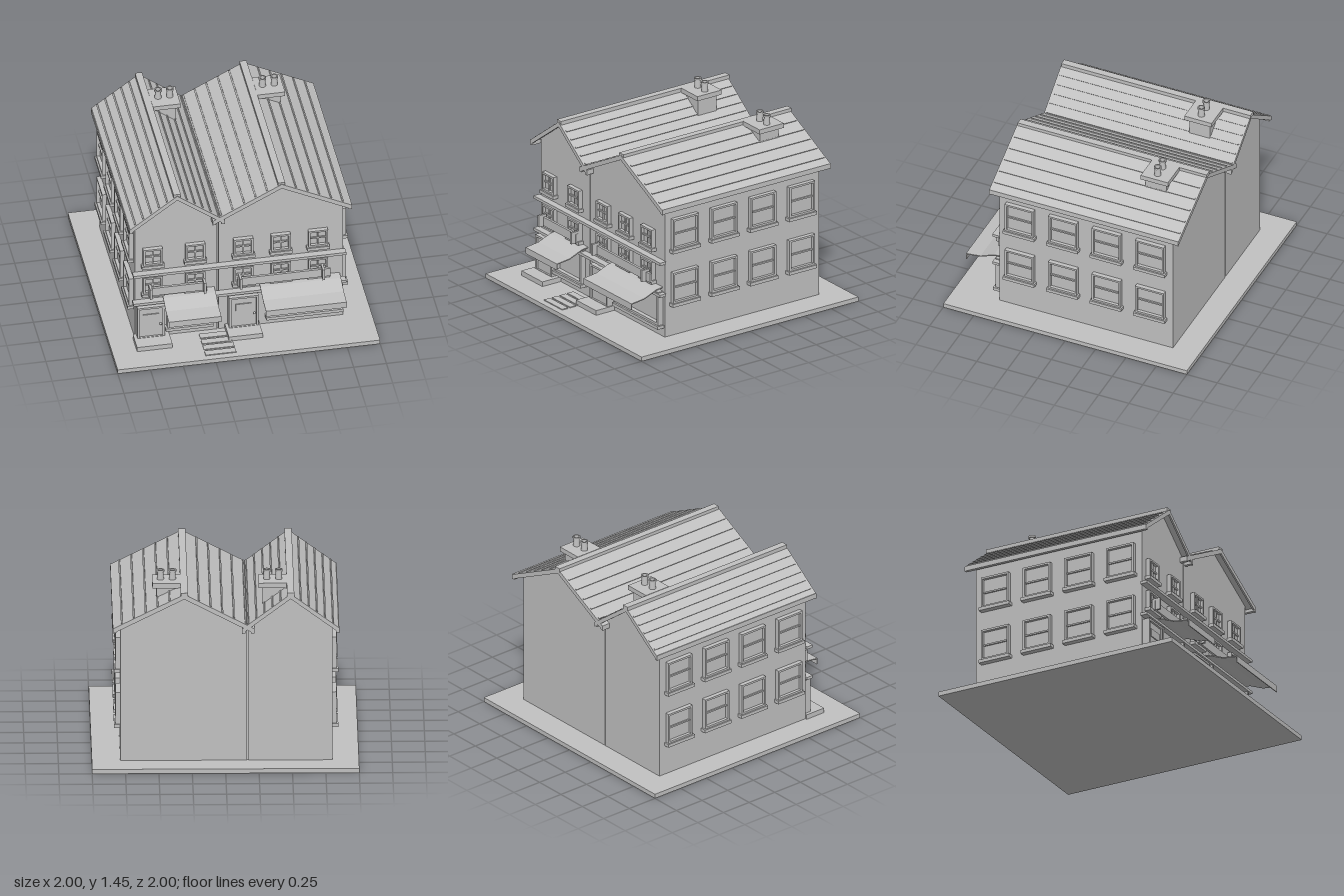
import * as THREE from 'three';

const stone = new THREE.MeshStandardMaterial({ color: 0xc0c0c0 });
stone.name = 'plain grey';

function add(parent, name, geometry) {
  const mesh = new THREE.Mesh(geometry, stone);
  mesh.name = name;
  parent.add(mesh);
  return mesh;
}

// Box given by its lower and upper limits on each axis
function box(parent, name, x0, x1, y0, y1, z0, z1) {
  const mesh = add(parent, name, new THREE.BoxGeometry(x1 - x0, y1 - y0, z1 - z0));
  mesh.position.set((x0 + x1) / 2, (y0 + y1) / 2, (z0 + z1) / 2);
  return mesh;
}

// Outline in x and y, pulled along z
function prism(parent, name, points, z0, z1) {
  const shape = new THREE.Shape(points.map(([x, y]) => new THREE.Vector2(x, y)));
  const mesh = add(parent, name, new THREE.ExtrudeGeometry(shape, { depth: z1 - z0, bevelEnabled: false }));
  mesh.position.z = z0;
  return mesh;
}

// Rectangular frame with an opening, standing on the z = 0 plane
function frame(parent, name, x0, x1, y0, y1, border, depth) {
  const rect = (P, a, b, c, d) => new P().moveTo(a, c).lineTo(b, c).lineTo(b, d).lineTo(a, d).closePath();
  const shape = rect(THREE.Shape, x0, x1, y0, y1);
  shape.holes.push(rect(THREE.Path, x0 + border, x1 - border, y0 + border, y1 - border));
  return add(parent, name, new THREE.ExtrudeGeometry(shape, { depth, bevelEnabled: false }));
}

// Window with sill, built on z = 0, its frame starting at y = 0
function makeWindow(w, h, cross) {
  const g = new THREE.Group();
  g.name = 'window';
  frame(g, 'windowFrame', -w / 2, w / 2, 0, h, 0.015, 0.034);
  box(g, 'windowPane', -w / 2 + 0.01, w / 2 - 0.01, 0.01, h - 0.01, 0, 0.01);
  box(g, 'sashBar', -w / 2 + 0.01, w / 2 - 0.01, h / 2 - 0.006, h / 2 + 0.006, 0, 0.022);
  if (cross) box(g, 'glazingBar', -0.005, 0.005, 0.01, h - 0.01, 0, 0.022);
  box(g, 'windowSill', -w / 2 - 0.012, w / 2 + 0.012, -0.026, 0, 0, 0.046);
  return g;
}

const FRONT = 0.633, BACK = -0.79, GROUND = 0.035;

// Walls, roof and chimney of one house
function makeHouse(x0, x1, ridgeX, ridgeY, eaves) {
  const g = new THREE.Group();
  g.name = 'house';
  const [[ex0, ey0], [ex1, ey1]] = eaves;
  const roofY = (x) => x < ridgeX
    ? ridgeY - (ridgeX - x) * (ridgeY - ey0) / (ridgeX - ex0)
    : ridgeY - (x - ridgeX) * (ridgeY - ey1) / (ex1 - ridgeX);
  prism(g, 'walls', [[x0, GROUND], [x1, GROUND], [x1, roofY(x1) - 0.02], [ridgeX, ridgeY - 0.02], [x0, roofY(x0) - 0.02]], BACK, FRONT);
  const chevron = (t) => [[ex0, ey0 - t], [ridgeX, ridgeY - t], [ex1, ey1 - t], [ex1, ey1], [ridgeX, ridgeY], [ex0, ey0]];
  prism(g, 'roof', chevron(0.024), -0.845, 0.685);
  for (const z of [-0.858, 0.682]) prism(g, 'bargeBoard', chevron(0.038), z, z + 0.014);
  box(g, 'ridgeCap', ridgeX - 0.027, ridgeX + 0.027, ridgeY - 0.018, ridgeY + 0.012, -0.862, 0.69);
  for (const [x, y, s] of [[ex0, ey0, 1], [ex1, ey1, -1]]) {
    const inner = x + s * 0.026;
    box(g, 'gutter', Math.min(x, inner), Math.max(x, inner), y - 0.035, y + 0.004, -0.855, 0.695);
    // Raised seams running along each slope
    for (let i = 1; i <= 5; i++) {
      const sx = x + (ridgeX - x) * (i / 6 - 0.04);
      const seam = box(g, 'roofSeam', sx - 0.006, sx + 0.006, roofY(sx) - 0.004, roofY(sx) + 0.007, -0.845, 0.68);
      seam.rotation.z = s * Math.atan((ridgeY - y) / Math.abs(ridgeX - x));
    }
  }
  // Chimney with two hollow pots
  const c = new THREE.Group();
  c.name = 'chimney';
  c.position.set(ridgeX, 0, -0.527);
  g.add(c);
  box(c, 'chimneyStack', 0.03, 0.207, 1.1, 1.345, -0.085, 0.085);
  box(c, 'chimneyCap', 0.026, 0.237, 1.341, 1.378, -0.112, 0.112);
  const profile = [[0.026, 0], [0.022, 0.06], [0.029, 0.062], [0.029, 0.078], [0.02, 0.078], [0.02, 0.01], [0, 0.01]]
    .map(([r, y]) => new THREE.Vector2(r, y));
  for (const x of [0.085, 0.175]) {
    const pot = add(c, 'chimneyPot', new THREE.LatheGeometry(profile, 16).toNonIndexed());
    pot.geometry.computeVertexNormals();
    pot.position.set(x, 1.376, 0);
  }
  return g;
}

// Door with frame, letter window, knob and step
function makeDoor(x0, x1, step0, step1) {
  const g = new THREE.Group();
  g.name = 'door';
  g.position.z = FRONT;
  box(g, 'doorStep', step0, step1, GROUND, 0.073, 0, 0.17);
  frame(g, 'doorFrame', x0, x1, 0.06, 0.35, 0.016, 0.06);
  box(g, 'doorLeaf', x0 + 0.014, x1 - 0.014, 0.07, 0.336, 0, 0.045);
  const mid = (x0 + x1) / 2;
  box(g, 'doorPane', mid - 0.06, mid + 0.06, 0.218, 0.28, 0.044, 0.053);
  const knob = add(g, 'doorKnob', new THREE.SphereGeometry(0.01, 10, 8));
  knob.position.set(x1 - 0.03, 0.185, 0.055);
  return g;
}

// Shop window, awning and hanging sign board
function makeShopFront(x0, x1, aw0, aw1, sign0, sign1, br0, br1) {
  const g = new THREE.Group();
  g.name = 'shopFront';
  g.position.z = FRONT;
  frame(g, 'shopWindowFrame', x0, x1, 0.13, 0.4, 0.018, 0.045);
  box(g, 'shopWindowPane', x0 + 0.01, x1 - 0.01, 0.14, 0.39, 0, 0.012);
  box(g, 'shopWindowSill', x0 - 0.014, x1 + 0.014, 0.105, 0.13, 0, 0.06);
  // Awning section in depth and height, swept across the width
  const top = [[0, 0.433], [0.06, 0.425], [0.17, 0.38], [0.289, 0.366], [0.289, 0.315]];
  const under = [[0.282, 0.315], [0.282, 0.359], [0.17, 0.372], [0.06, 0.416], [0, 0.425]];
  const awning = prism(g, 'awning', [...top, ...under].map(([z, y]) => [-z, y]), 0, aw1 - aw0);
  awning.rotation.y = Math.PI / 2;
  awning.position.set(aw0, 0, 0);
  box(g, 'signBoard', sign0, sign1, 0.455, 0.525, 0.04, 0.06);
  for (const x of [br0, br1]) box(g, 'signBracket', x - 0.009, x + 0.009, 0.452, 0.545, 0.03, 0.1);
  return g;
}

export function createModel() {
  const model = new THREE.Group();
  model.name = 'terraceHouses';
  box(model, 'groundSlab', -1, 1, 0, GROUND, -1, 1);

  // Two neighbouring houses with a narrow joint between
  model.add(makeHouse(-0.8, -0.172, -0.488, 1.363, [[-0.852, 1.095], [-0.125, 1.09]]));
  model.add(makeHouse(-0.162, 0.787, 0.308, 1.363, [[-0.218, 1.09], [0.843, 1.095]]));
  box(model, 'partyJoint', -0.175, -0.16, GROUND, 1.09, BACK + 0.015, FRONT - 0.015);

  // Front windows on two floors
  for (const x of [-0.667, -0.343, 0.023, 0.308, 0.592]) {
    for (const y of [0.461, 0.722]) {
      const w = makeWindow(0.148, 0.146, true);
      w.position.set(x, y, FRONT);
      model.add(w);
    }
  }

  // Side windows, four to a floor on both ends
  for (const side of [-1, 1]) {
    for (let i = 0; i < 4; i++) {
      for (const y of [0.303, 0.736]) {
        const w = makeWindow(0.234, 0.247, false);
        w.rotation.y = side * Math.PI / 2;
        w.position.set(side > 0 ? 0.787 : -0.8, y, 0.46 - i * 0.357);
        model.add(w);
      }
    }
  }

  // Horizontal bands across the front
  for (const y of [0.37, 0.63]) box(model, 'stringCourse', -0.82, 0.802, y, y + 0.022, FRONT, 0.687);

  model.add(makeDoor(-0.79, -0.583, -0.815, -0.545));
  model.add(makeDoor(-0.092, 0.132, -0.115, 0.143));
  model.add(makeShopFront(-0.56, -0.226, -0.595, -0.195, -0.705, -0.27, -0.693, -0.281));
  model.add(makeShopFront(0.205, 0.764, 0.145, 0.76, -0.03, 0.68, -0.008, 0.622));

  // Paving strips in front of the joint
  for (let i = 0; i < 4; i++) {
    const z = 0.95 - i * 0.072;
    box(model, 'pavingSlab', -0.32, -0.087, 0.03, 0.042, z - 0.055, z);
  }
  return model;
}
